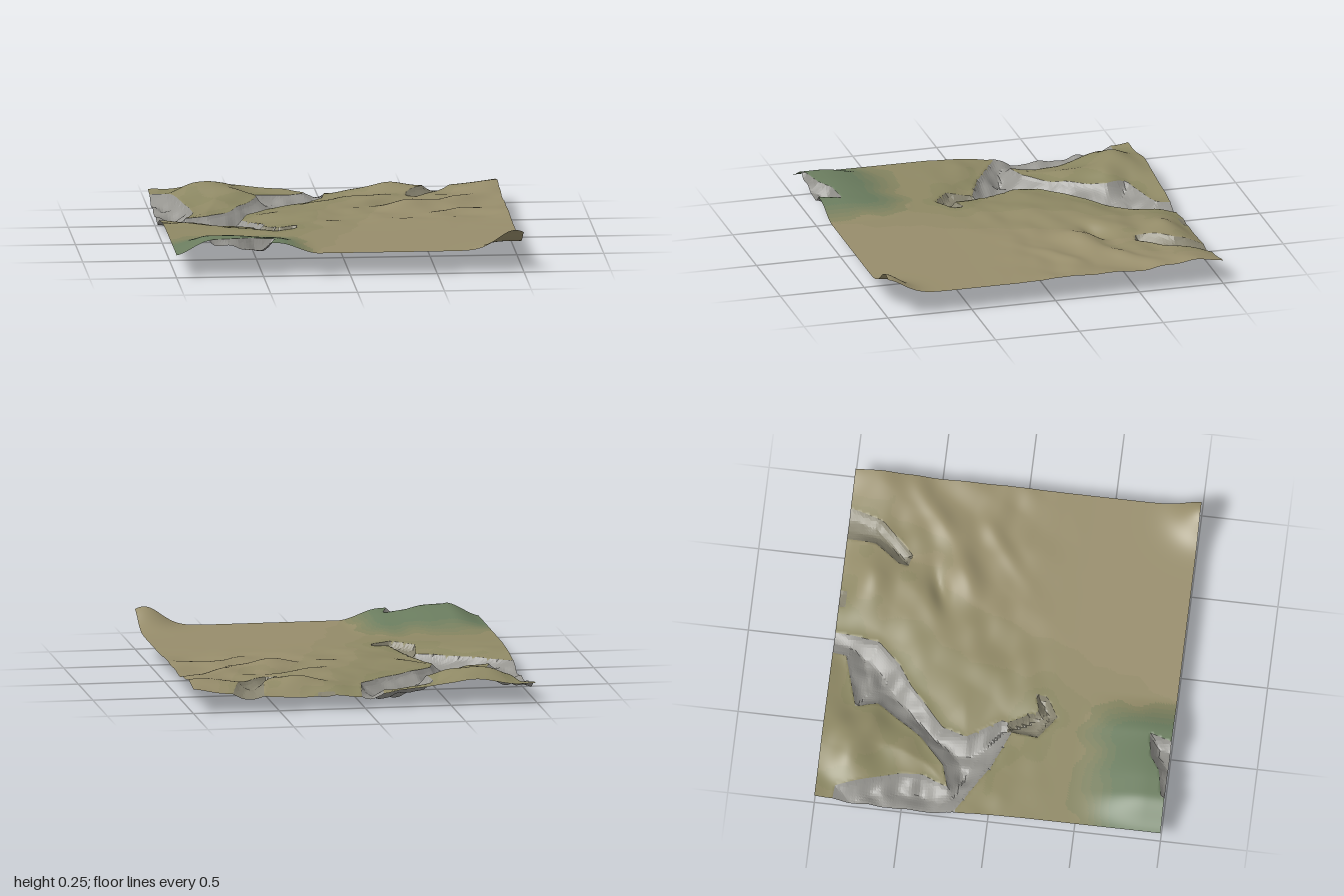
import * as THREE from 'three';

const N = 128, CELL = 2 / N;

// Outlines (x, z) of every rocky cut, with its depth, the width of its walls and its colour
const cuts = [
  { name: 'canyon', depth: 0.085, wall: 0.1, color: 0x95948f, pts: [
    -.08, -1.2, -.12, -.92, -.43, -.83, -.40, -.70, -.57, -.43, -.72, -.29, -.85, -.25, -.79, -.40, -.80, -.53,
    -.92, -.89, -1.3, -.92, -1.3, -.2, -1, -.2, -.69, -.01, -.45, .09, -.41, .02, -.53, -.18, -.49, -.32,
    -.26, -.53, -.14, -.61, -.02, -.74, .05, -1.2] },
  { name: 'southCrevice', depth: 0.055, wall: 0.035, color: 0x86826f, pts: [
    -.47, .05, -.50, .23, -.37, .33, -.25, .26, -.24, .19, -.34, .22, -.42, .05] },
  { name: 'northEastCrevice', depth: 0.045, wall: 0.05, color: 0x86826f, pts: [
    .46, -.69, .45, -.63, .52, -.61, .70, -.80, .84, -1.2, .62, -1.2, .56, -.83] },
  { name: 'northNotch', depth: 0.02, wall: 0.05, color: 0x86826f, pts: [.17, -.96, .27, -.96, .3, -1.2, .18, -1.2] },
  { name: 'southBluff', depth: 0.05, wall: 0.05, color: 0x8c8b86, pts: [
    -.84, 1.2, -.81, .98, -.65, .95, -.56, .89, -.42, .87, -.52, 1.2] },
];

// Soft hills (and hollows): x, z, height, half length, half width, heading
const hills = [
  [-.72, -.84, .055, .24, .13, .2], [-.52, -.7, .03, .16, .1, .6],
  [.45, -.30, .045, .16, .08, .5], [.30, -.56, .02, .18, .08, .7], [.6, -.08, .014, .2, .05, .65],
  [.80, -.52, .022, .22, .06, .65], [.95, -.82, .035, .18, .12, .65], [.35, -.82, .035, .14, .08, 0],
  [.95, 1.02, .12, .14, .15, 0], [.42, -1.03, -.065, .4, .1, 0], [.33, -.43, -.045, .12, .05, .3],
];

const smooth = (a, b, v) => THREE.MathUtils.smoothstep(v, a, b);

function hash(a, b) {
  const s = Math.sin(a * 127.1 + b * 311.7) * 43758.5453;
  return s - Math.floor(s);
}

// Smoothly interpolated lattice noise, 0 to 1
function noise(x, z) {
  const i = Math.floor(x), k = Math.floor(z);
  const u = smooth(0, 1, x - i), v = smooth(0, 1, z - k);
  const near = hash(i, k) * (1 - u) + hash(i + 1, k) * u;
  const far = hash(i, k + 1) * (1 - u) + hash(i + 1, k + 1) * u;
  return near * (1 - v) + far * v;
}

// Nearest outline point, its distance, and whether (x, z) lies inside
function locate(cut, x, z) {
  const p = cut.pts;
  let dist = Infinity, inside = false, nx = x, nz = z;
  for (let i = 0, j = p.length - 2; i < p.length; j = i, i += 2) {
    const ax = p[j], az = p[j + 1], dx = p[i] - ax, dz = p[i + 1] - az;
    const t = THREE.MathUtils.clamp(((x - ax) * dx + (z - az) * dz) / (dx * dx + dz * dz), 0, 1);
    const px = ax + dx * t, pz = az + dz * t, d = Math.hypot(x - px, z - pz);
    if (d < dist) { dist = d; nx = px; nz = pz; }
    if ((az > z) !== (p[i + 1] > z) && x < ax + dx * (z - az) / dz) inside = !inside;
  }
  return { dist, inside, nx, nz };
}

const greenness = (x, z) =>
  smooth(.42, .75, z + .1 * (noise(x * 9, z * 9) - .5)) * (1 - smooth(-.36, -.16, x + .06 * noise(x * 9, z * 9)));

function groundHeight(x, z) {
  let y = .13;
  for (const [hx, hz, h, len, wid, a] of hills) {
    const dx = x - hx, dz = z - hz, c = Math.cos(a), s = Math.sin(a);
    y += h * Math.exp(-(((dx * c - dz * s) / len) ** 2) - ((dx * s + dz * c) / wid) ** 2);
  }
  // grassy mound at the south-west edge
  const profile = smooth(-1.02, -.8, x) * (1 - .25 * smooth(-.7, -.4, x)) * (1 - smooth(-.42, -.18, x));
  y += .085 * profile * smooth(.45, .9, z);
  // ground sinking towards the canyon rim
  const rim = locate(cuts[0], x, z);
  y -= .035 * (rim.inside ? 1 : Math.exp(-((rim.dist / .13) ** 2)));
  // gentle roughness, fading to the flat south
  const rough = 1 - smooth(-.1, .4, z);
  return y + rough * .022 * (noise(x * 6 + z * 3, z * 8 - x * 2) - .45);
}

function cutDepth(x, z) {
  let depth = 0;
  for (const cut of cuts) {
    const { dist, inside } = locate(cut, x, z);
    if (!inside || dist < 1e-6) continue;
    const rugged = .65 + .7 * noise(x * 13, z * 13);
    depth = Math.max(depth, cut.depth * Math.min(1, dist / cut.wall) ** .75 * rugged);
  }
  // cuts grow shallow where they leave the sheet to the north and west
  return depth * (.45 + .55 * smooth(-1, -.8, z)) * (.5 + .5 * smooth(-1, -.85, x));
}

export function createModel() {
  const group = new THREE.Group();
  group.name = 'canyonTerrain';

  // Sheet of points, drawn onto the rims so that the cliff edges stay crisp
  const sheet = new THREE.PlaneGeometry(2, 2, N, N).rotateX(-Math.PI / 2);
  const pos = sheet.attributes.position;
  for (let i = 0; i < pos.count; i++) {
    const x0 = pos.getX(i), z0 = pos.getZ(i);
    let x = x0, z = z0;
    for (const cut of cuts) {
      const near = locate(cut, x0, z0);
      if (near.dist < CELL * .6) { x = near.nx; z = near.nz; }
    }
    if (Math.abs(x0) > .999) x = x0;
    if (Math.abs(z0) > .999) z = z0;
    x = THREE.MathUtils.clamp(x, -1, 1);
    z = THREE.MathUtils.clamp(z, -1, 1);
    pos.setXYZ(i, x, Math.max(0, groundHeight(x, z) - cutDepth(x, z)), z);
  }
  sheet.computeVertexNormals();

  // Sort the faces into rock, grass and earth shades
  const tan = new THREE.Color(0x978d6b), olive = new THREE.Color(0x8a8661), green = new THREE.Color(0x6b7d5f);
  const parts = new Map();
  const add = (name, color, corners) => {
    if (!parts.has(name)) parts.set(name, { color, corners: [] });
    parts.get(name).corners.push(...corners);
  };
  const index = sheet.index.array;
  for (let f = 0; f < index.length; f += 3) {
    const corners = [index[f], index[f + 1], index[f + 2]];
    const x = corners.reduce((s, c) => s + pos.getX(c), 0) / 3;
    const z = corners.reduce((s, c) => s + pos.getZ(c), 0) / 3;
    let rim = Infinity, rock = null;
    for (const cut of cuts) {
      const at = locate(cut, x, z);
      rim = Math.min(rim, at.dist);
      if (at.inside) rock = cut;
    }
    if (rock) {
      add(rock.name, new THREE.Color(rock.color), corners);
      continue;
    }
    const g = Math.round(greenness(x, z) * 5);
    const west = 1 - smooth(-.5, .5, x + .4 * z);
    const o = Math.round(3 * Math.min(1, .6 * west + .7 * Math.exp(-rim * 6) * noise(x * 8, z * 8)));
    if (g > 0) add('grassyMound' + g, olive.clone().lerp(green, g / 5), corners);
    else add('earth' + o, tan.clone().lerp(olive, o / 3), corners);
  }

  for (const [name, { color, corners }] of parts) {
    const isRock = cuts.some((c) => c.name === name);
    const part = new THREE.BufferGeometry();
    for (const key of ['position', 'normal']) {
      const src = sheet.attributes[key], out = new Float32Array(corners.length * 3);
      corners.forEach((c, i) => out.set([src.getX(c), src.getY(c), src.getZ(c)], i * 3));
      part.setAttribute(key, new THREE.BufferAttribute(out, 3));
    }
    const material = new THREE.MeshStandardMaterial({ color, side: THREE.DoubleSide, flatShading: isRock });
    if (isRock) part.computeVertexNormals();
    const mesh = new THREE.Mesh(part, material);
    mesh.name = name;
    group.add(mesh);
  }
  return group;
}
